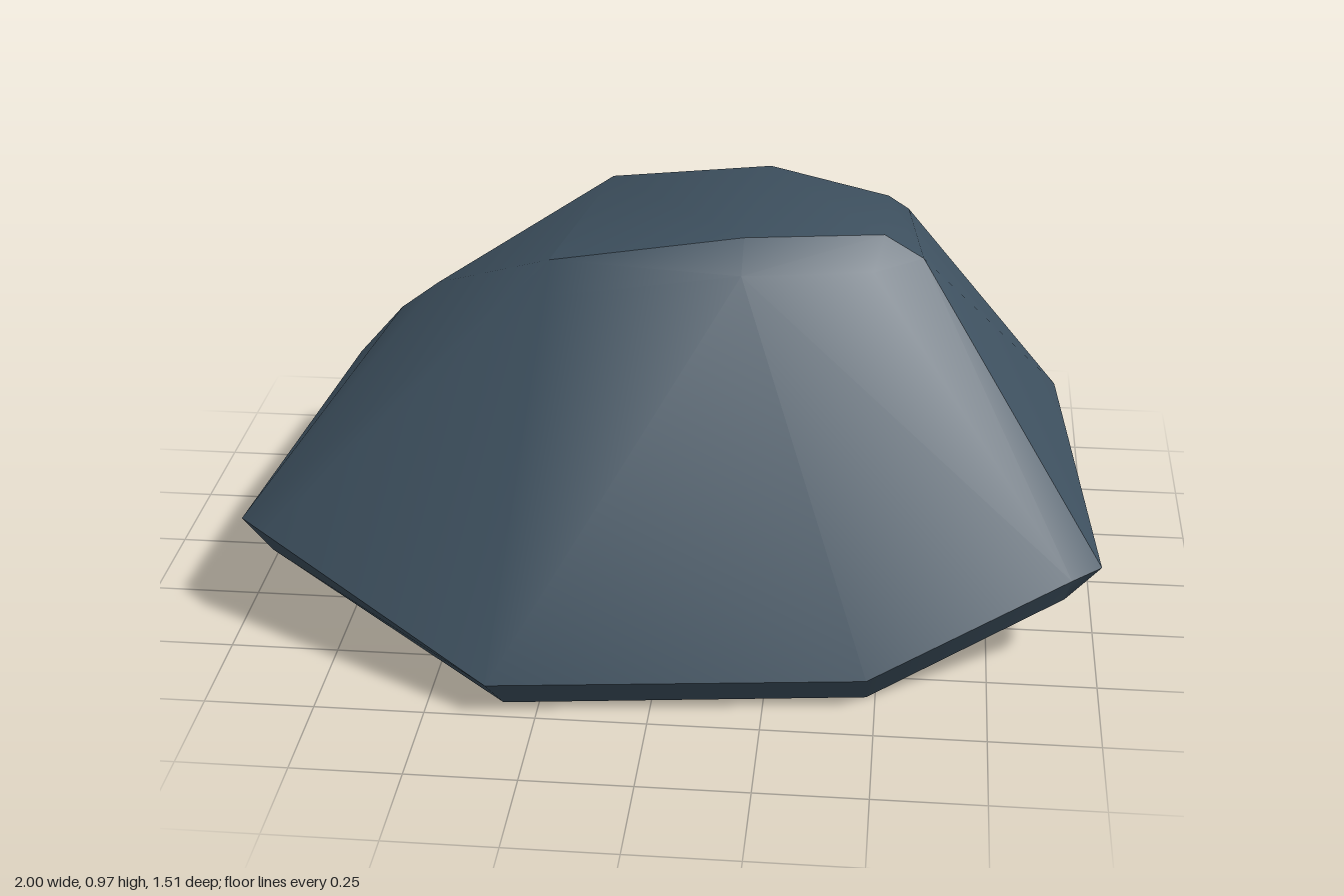
import * as THREE from 'three';
import { ConvexGeometry } from 'three/addons/geometries/ConvexGeometry.js';
import { toCreasedNormals } from 'three/addons/utils/BufferGeometryUtils.js';

const CREASE_ANGLE = 0.7;

// Foot of the boulder: flat in the middle, rising towards both ends
const foot = [
  [-0.33, 0, 0.69], [0.48, 0, 0.59], [0.92, 0.17, 0.40], [0.86, 0.17, -0.61],
  [0.43, 0, -0.66], [-0.20, 0, -0.69], [-0.85, 0.17, -0.63], [-0.93, 0.17, 0.34],
];

// Widest outline, with chipped corners
const rim = [
  [-0.36, 0.08, 0.755], [0.48, 0.08, 0.655], [0.93, 0.25, 0.46], [1, 0.25, 0.39],
  [0.925, 0.25, -0.61], [0.85, 0.25, -0.68], [0.43, 0.08, -0.73], [-0.20, 0.08, -0.755],
  [-0.84, 0.25, -0.70], [-0.92, 0.25, -0.64], [-1, 0.25, 0.34], [-0.93, 0.25, 0.41],
];

// Shoulder just below the crown
const shoulder = [
  [-0.65, 0.69, 0.07], [-0.27, 0.84, 0.33], [0.17, 0.91, 0.34], [0.46, 0.89, 0.24],
  [0.57, 0.90, 0.17], [0.53, 0.81, -0.38], [0.19, 0.86, -0.46], [-0.20, 0.82, -0.48],
];

// Sloping crown
const crown = [
  [-0.56, 0.76, 0.08], [-0.27, 0.90, 0.26], [0.17, 0.97, 0.26], [0.48, 0.95, 0.16],
  [0.48, 0.85, -0.36], [0.19, 0.91, -0.38], [-0.20, 0.87, -0.38],
];

export function createModel() {
  const group = new THREE.Group();
  group.name = 'boulder';

  const slateBlue = new THREE.MeshStandardMaterial({ color: 0x3f5261 });
  slateBlue.name = 'slateBlue';

  // One faceted stone stretched over the four outlines
  const points = [foot, rim, shoulder, crown].flat().map((p) => new THREE.Vector3(...p));
  const stone = new THREE.Mesh(toCreasedNormals(new ConvexGeometry(points), CREASE_ANGLE), slateBlue);
  stone.name = 'stone';
  group.add(stone);

  return group;
}
